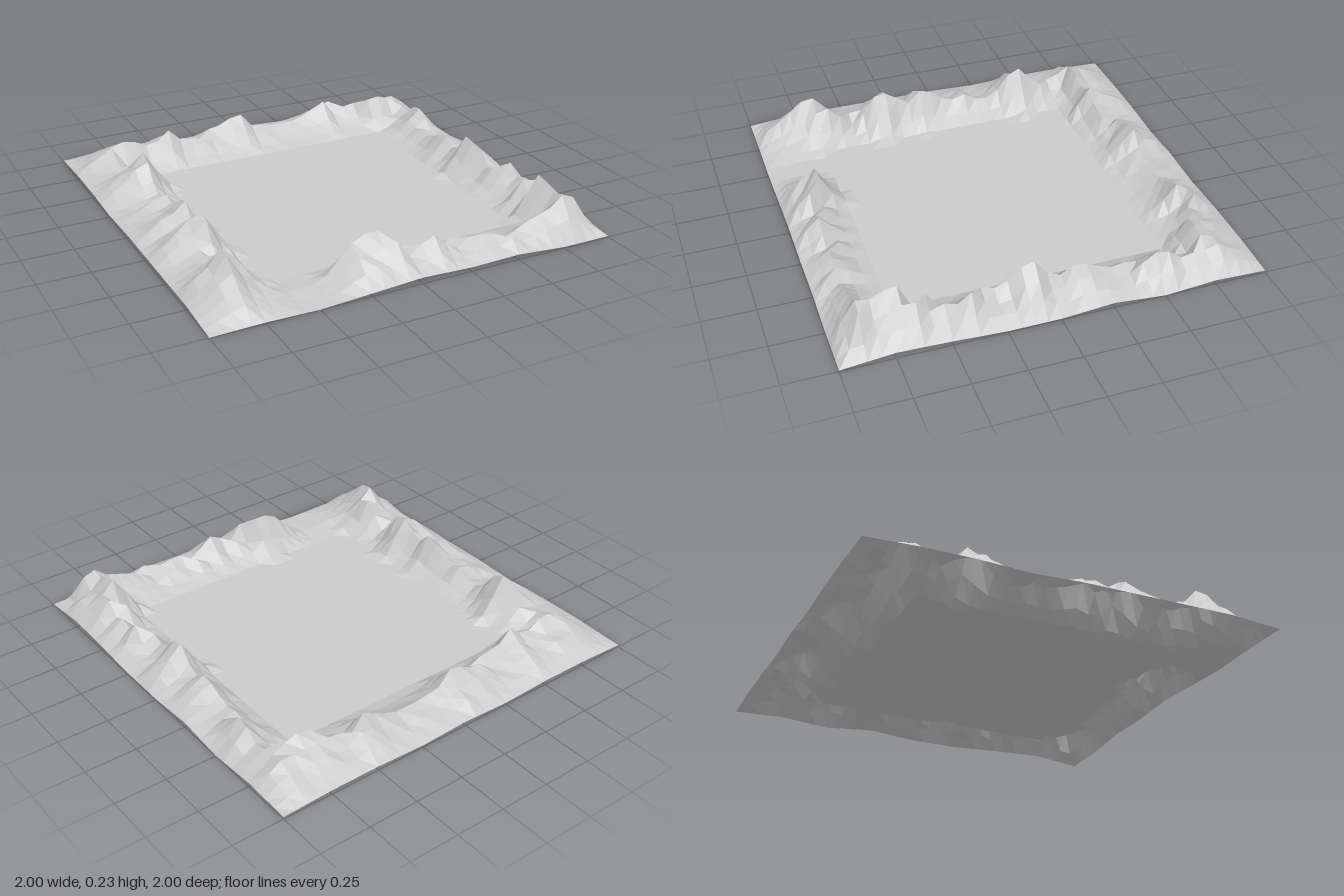
import * as THREE from 'three';

const N = 32; // cells per side

// Each ridge along its border from -1 to 1: crest heights in hundredths at every
// grid point; at every fourth point the crest's distance from the border in cells
// and the height of the rim in hundredths; foot is where the plain begins.
const RIDGES = {
  back: {
    foot: 5.9,
    h: [3, 7, 10, 13, 16, 15, 12, 13, 18, 12, 11, 10, 12, 13, 16, 17, 10, 9, 8, 8, 8, 10, 13, 16, 13, 11, 12, 15, 16, 14, 12, 8, 3],
    crest: [4, 4, 4, 3.5, 3, 3, 2.6, 4, 3],
    rim: [1, 2, 2, 1, 2, 1, 2, 2, 1],
  },
  front: {
    foot: 4.9,
    h: [2, 3, 5, 7, 7, 5, 3, 1, 1, 1, 4, 11, 17, 20, 20, 16, 10, 12, 15, 10, 8, 10, 10, 9, 8, 8, 11, 13, 15, 20, 18, 10, 3],
    crest: [3, 3, 3, 3, 2.7, 2.3, 1.8, 2, 3],
    rim: [0, 0.5, 0, 1.5, 3, 2, 2.5, 0.5, 0.5],
  },
  left: {
    foot: 5.8,
    h: [3, 6, 9, 12, 14, 10, 8, 10, 15, 22, 19, 11, 7, 8, 12, 10, 12, 17, 19, 13, 17, 21, 20, 11, 9, 12, 18, 22, 21, 16, 11, 7, 2],
    crest: [3, 3, 4, 3.6, 4, 4, 3.6, 3, 3],
    rim: [1, 2, 2, 1, 2, 2, 2, 2, 0],
  },
  right: {
    foot: 4.9,
    h: [3, 5, 8, 12, 14, 10, 9, 14, 15, 11, 8, 7, 9, 12, 13, 9, 12, 20, 18, 12, 10, 12, 16, 11, 13, 15, 17, 23, 22, 19, 14, 11, 4],
    crest: [2, 2.4, 2, 3, 3, 3, 2.3, 3, 3],
    rim: [1, 2, 0, 2.5, 0.5, 0.5, 2, 3, 0.5],
  },
};

// Repeatable noise in 0..1 for a grid point
function noise(i, j) {
  const s = Math.sin(i * 127.1 + j * 311.7) * 43758.5453;
  return s - Math.floor(s);
}

// Value at grid point k of a list that holds every fourth point
function sample(list, k) {
  const a = Math.min(7, Math.floor(k / 4));
  return THREE.MathUtils.lerp(list[a], list[a + 1], k / 4 - a);
}

// Height of one ridge at d cells from its border, k cells along it
function ridgeHeight(ridge, k, d, rough) {
  const top = ridge.h[k] / 100;
  const crest = Math.round(sample(ridge.crest, k) + 0.8 * (noise(k, ridge.foot) - 0.5));
  const foot = ridge.foot + Math.max(0, top - 0.17) * 18; // high peaks reach further in
  if (d >= foot) return 0;
  if (d === crest) return top;
  if (d > crest) { // inner slope, down to the plain
    return top * Math.pow(1 - (d - crest) / (foot - crest), 1.25) * rough;
  }
  const rim = Math.min(top, sample(ridge.rim, k) / 100); // outer slope, down to the rim
  return rim + (top - rim) * Math.pow(d / crest, 0.9) * rough;
}

function terrainHeight(i, j) {
  const borders = [
    [RIDGES.back, i, j],
    [RIDGES.front, i, N - j],
    [RIDGES.left, j, i],
    [RIDGES.right, j, N - i],
  ];
  const outer = borders.find(([, , d]) => d === 0);
  if (outer) return sample(outer[0].rim, outer[1]) / 100;
  const rough = 0.75 + 0.38 * noise(i, j);
  return Math.max(...borders.map(([ridge, k, d]) => ridgeHeight(ridge, k, d, rough)));
}

export function createModel() {
  const group = new THREE.Group();
  group.name = 'mountainRingTerrain';

  // Square grid lifted by the ridges around a flat plain
  const positions = [];
  const index = [];
  for (let j = 0; j <= N; j++) {
    for (let i = 0; i <= N; i++) {
      positions.push((2 * i) / N - 1, terrainHeight(i, j), (2 * j) / N - 1);
      if (i < N && j < N) {
        const a = j * (N + 1) + i;
        const b = a + 1;
        const c = a + N + 1;
        const d = c + 1;
        index.push(a, c, d, a, d, b);
      }
    }
  }
  const geometry = new THREE.BufferGeometry();
  geometry.setAttribute('position', new THREE.Float32BufferAttribute(positions, 3));
  geometry.setIndex(index);
  geometry.computeVertexNormals();

  const material = new THREE.MeshStandardMaterial({
    color: 0xcccccc,
    flatShading: true,
    side: THREE.DoubleSide,
  });
  const terrain = new THREE.Mesh(geometry, material);
  terrain.name = 'terrain';
  group.add(terrain);
  return group;
}
